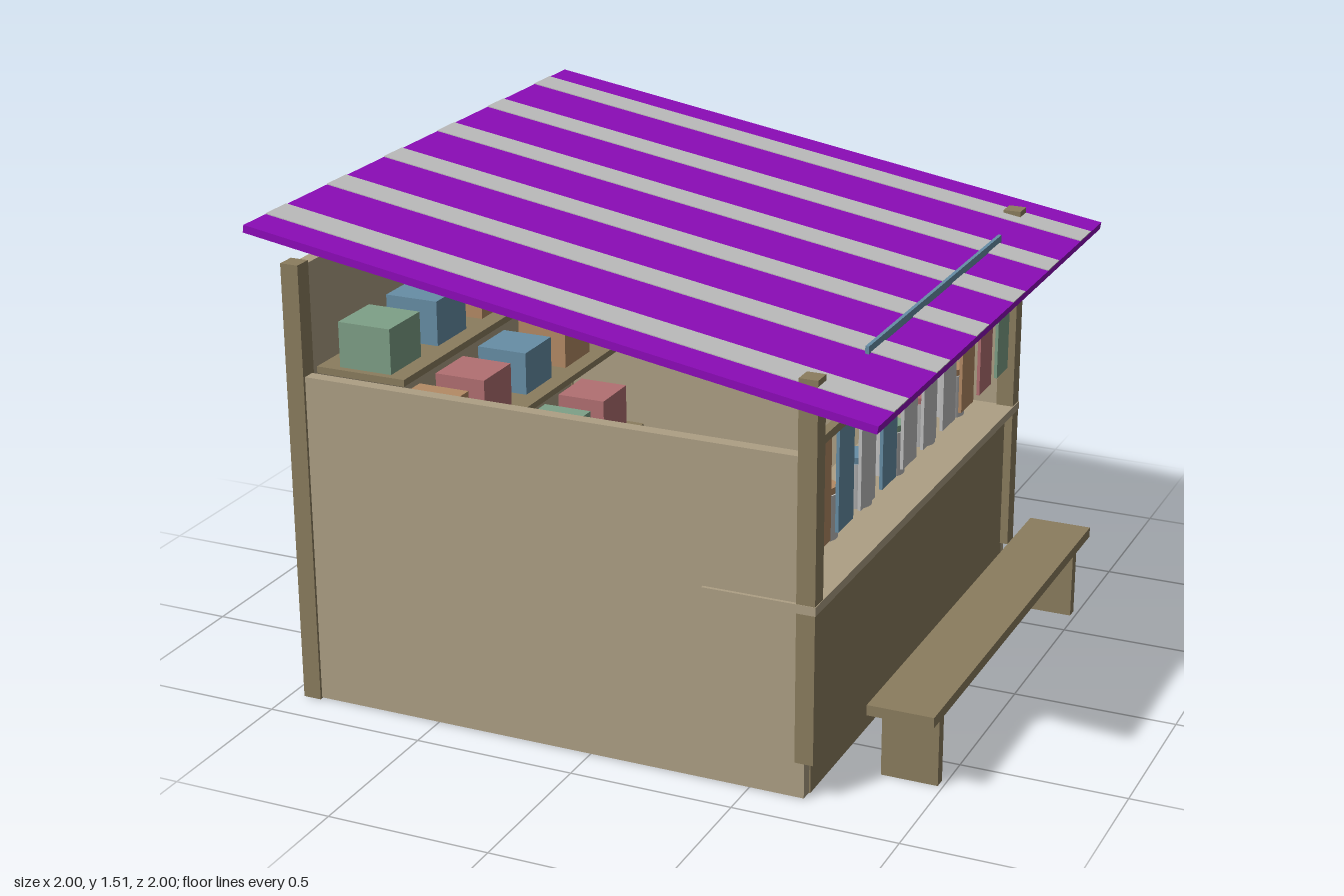
import * as THREE from 'three';

const mat = (name, color) => {
  const m = new THREE.MeshStandardMaterial({ color });
  m.name = name;
  return m;
};

export function createModel() {
  const group = new THREE.Group();
  group.name = 'marketStall';

  const M = {
    tan: mat('light wood', 0xad9f84),
    wood: mat('dark wood', 0x8b7d5e),
    purple: mat('awning purple', 0x8e0cbb),
    white: mat('off white', 0xbfbfbf),
    blue: mat('dusty blue', 0x678ea6),
    green: mat('sage green', 0x7ea087),
    orange: mat('clay orange', 0xb48b65),
    red: mat('dusty red', 0xb27072),
  };

  // Box given by its minimum and maximum on each axis
  const box = (name, m, x0, x1, y0, y1, z0, z1, parent = group) => {
    const mesh = new THREE.Mesh(new THREE.BoxGeometry(x1 - x0, y1 - y0, z1 - z0), m);
    mesh.position.set((x0 + x1) / 2, (y0 + y1) / 2, (z0 + z1) / 2);
    mesh.name = name;
    parent.add(mesh);
    return mesh;
  };

  // Walls and corner posts
  box('backWall', M.tan, -0.945, -0.905, 0.003, 1.36, -0.835, 0.835);
  for (const s of [-1, 1]) {
    const span = (a, b) => (s > 0 ? [a, b] : [-b, -a]);
    box('sideWall', M.tan, -0.93, 0.668, 0.003, 1.03, ...span(0.835, 0.875));
    box('backPost', M.wood, -0.957, -0.9, 0, 1.37, ...span(0.826, 0.884));
    box('frontPost', M.wood, 0.642, 0.698, 0.115, 1.257, ...span(0.826, 0.884));
  }

  // Serving counter
  box('counterCabinet', M.wood, 0.36, 0.672, 0.002, 0.575, -0.836, 0.836);
  box('counterTop', M.tan, 0.358, 0.7, 0.573, 0.6, -0.886, 0.886);

  // Bench
  box('benchSeat', M.wood, 0.8, 1, 0.228, 0.26, -0.74, 0.74);
  for (const z of [-0.63, 0.63]) box('benchLeg', M.wood, 0.813, 0.985, 0, 0.23, z - 0.018, z + 0.018);

  // Shelves of boxes along the back wall
  const stock = [
    [0.335, ['orange', 'red', 'orange', 'blue', 'green', 'red']],
    [0.685, ['green', 'orange', 'red', 'blue', 'orange', 'orange']],
    [1.025, ['green', 'blue', 'orange', 'red', 'blue', 'orange']],
  ];
  for (const [y, colors] of stock) {
    box('shelf', M.wood, -0.905, -0.615, y - 0.008, y + 0.013, -0.8, 0.8);
    colors.forEach((c, i) => {
      const z = 0.69 - i * 0.276;
      box('shelfBox', M[c], -0.84, -0.67, y + 0.013, y + 0.152, z - 0.088, z + 0.088);
    });
  }

  // Jars with coloured lids on the counter
  ['red', 'orange', 'blue', 'green', 'red', 'orange'].forEach((c, i) => {
    const z = 0.69 - i * 0.276;
    const jar = new THREE.Mesh(new THREE.CylinderGeometry(0.055, 0.055, 0.14, 24), M.white);
    jar.position.set(0.52, 0.67, z);
    jar.name = 'jar';
    const lid = new THREE.Mesh(new THREE.CylinderGeometry(0.05, 0.05, 0.02, 24), M[c]);
    lid.position.set(0.52, 0.75, z);
    lid.name = 'jarLid';
    group.add(jar, lid);
  });

  // Rail with hanging cloths
  box('clothRail', M.wood, 0.657, 0.683, 1.043, 1.068, -0.83, 0.83);
  ['orange', 'blue', 'white', 'blue', 'white', 'white', 'white', 'orange', 'red', 'green'].forEach((c, i) => {
    const z = 0.775 - i * 0.1722;
    box('cloth', M[c], 0.665, 0.675, 0.73, 1.046, z - 0.057, z + 0.057);
  });

  // Banner
  box('banner', M.blue, 0.71, 0.721, 1.083, 1.256, -0.57, 0.57);

  // Sloping striped roof
  const roof = new THREE.Group();
  roof.name = 'roof';
  roof.position.set(-0.043, 1.345, 0);
  roof.rotation.z = -Math.atan2(0.31, 1.91);
  group.add(roof);
  const half = 0.967;
  box('roofPanel', M.purple, -half, half, -0.0115, 0.0115, -1, 1, roof);
  for (let i = 0; i < 6; i++) {
    const z = -0.83 + i * 0.332;
    box('roofStripe', M.white, -half, half, 0.011, 0.0145, z - 0.054, z + 0.054, roof);
  }

  return group;
}
